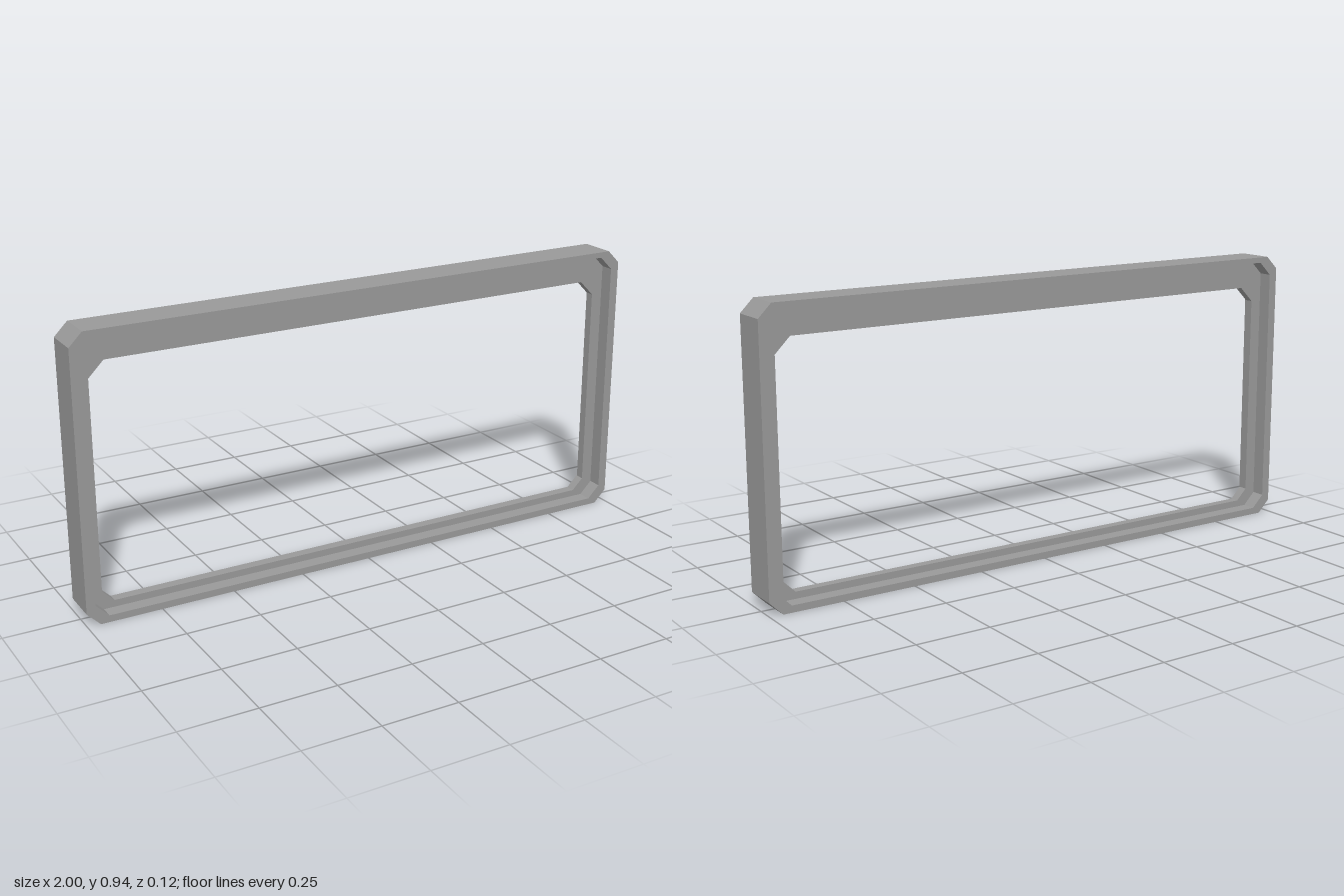
import * as THREE from 'three';

// Chamfered rectangle, counter-clockwise from the front; c0 = bottom chamfer, c1 = top chamfer
function octagon(halfWidth, bottom, top, c0, c1) {
  const w = halfWidth;
  return [
    [-w + c0, bottom], [w - c0, bottom], [w, bottom + c0], [w, top - c1],
    [w - c1, top], [-w + c1, top], [-w, top - c1], [-w, bottom + c0],
  ];
}

// Joins a closed sequence of [outline, z] rings with flat-shaded quads
function loftRings(rings) {
  const positions = [];
  rings.forEach(([a, za], r) => {
    const [b, zb] = rings[(r + 1) % rings.length];
    a.forEach((p, i) => {
      const j = (i + 1) % a.length;
      const a0 = [...p, za], a1 = [...a[j], za];
      const b0 = [...b[i], zb], b1 = [...b[j], zb];
      positions.push(...a0, ...a1, ...b1, ...a0, ...b1, ...b0);
    });
  });
  const geometry = new THREE.BufferGeometry();
  geometry.setAttribute('position', new THREE.Float32BufferAttribute(positions, 3));
  geometry.computeVertexNormals();
  return geometry;
}

export function createModel() {
  const group = new THREE.Group();
  group.name = 'windowFrame';

  const grey = new THREE.MeshStandardMaterial({ color: 0x999999 });
  grey.name = 'frameGrey';

  const outer = octagon(1, 0, 0.945, 0.044, 0.044);
  const rim = octagon(0.97, 0.023, 0.926, 0.043, 0.046);
  const opening = octagon(0.93, 0.046, 0.834, 0.039, 0.051);
  const front = 0.0625; // half depth of the rim
  const ledge = 0.015; // half depth of the recessed inner border

  // Rim, recess and inner border, mirrored front to back
  const frame = new THREE.Mesh(loftRings([
    [outer, front], [rim, front], [rim, ledge], [opening, ledge],
    [opening, -ledge], [rim, -ledge], [rim, -front], [outer, -front],
  ]), grey);
  frame.name = 'frame';
  group.add(frame);

  return group;
}
